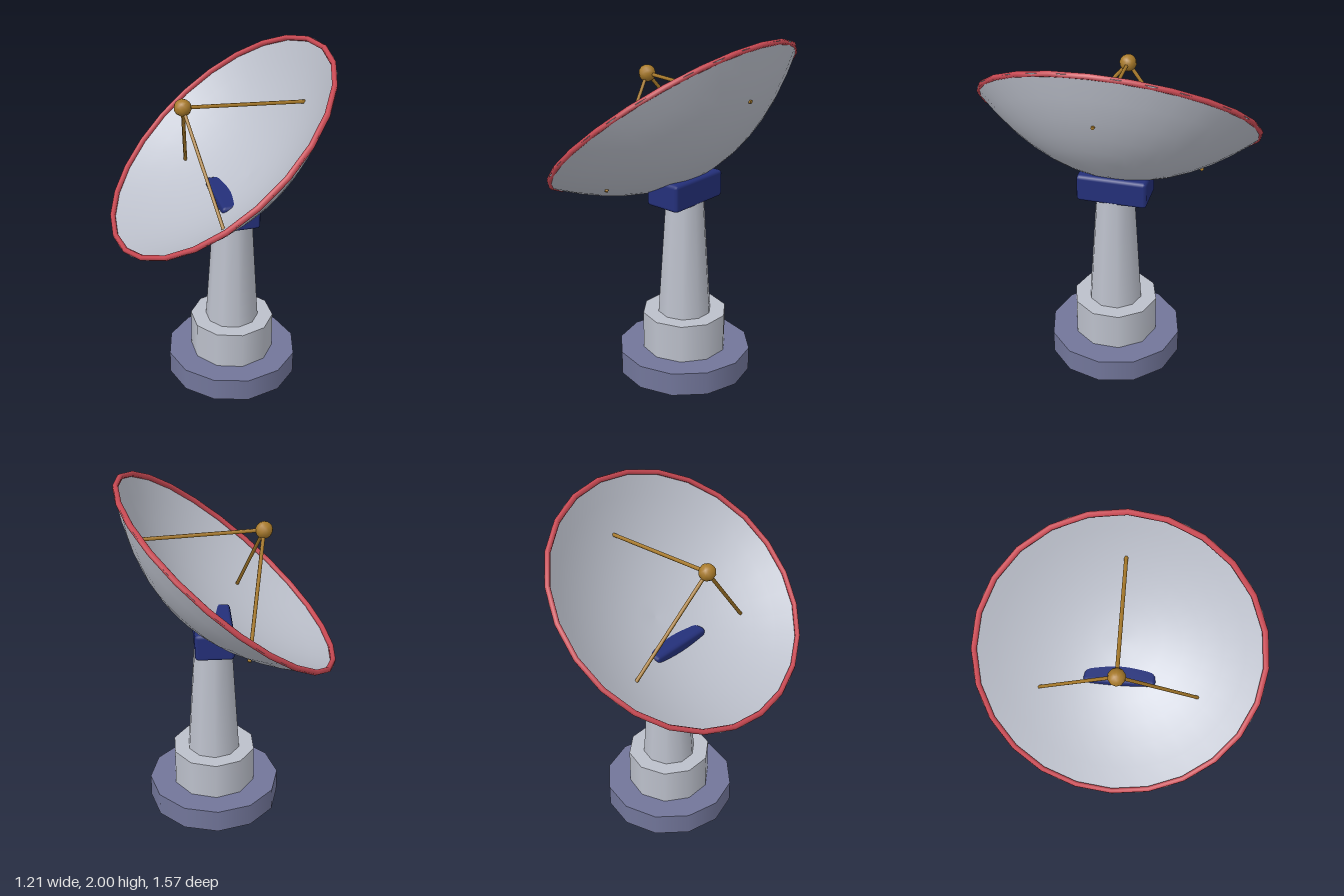
import * as THREE from 'three';
import { RoundedBoxGeometry } from 'three/addons/geometries/RoundedBoxGeometry.js';

const material = (name, color, side = THREE.FrontSide) => {
  const m = new THREE.MeshStandardMaterial({ color, side });
  m.name = name;
  return m;
};

export function createModel() {
  const grey = material('light grey', 0xbcc0cb);
  const slate = material('slate', 0x72769a);
  const navy = material('navy', 0x24307a);
  const red = material('rim red', 0xcb4a54);
  const gold = material('ochre', 0xa87a2a);

  const model = new THREE.Group();
  model.name = 'dishAntenna';
  const add = (parent, name, geometry, mat, x = 0, y = 0, z = 0) => {
    const mesh = new THREE.Mesh(geometry, mat);
    mesh.name = name;
    mesh.position.set(x, y, z);
    parent.add(mesh);
    return mesh;
  };

  // Pedestal: stacked drums [name, top radius, bottom radius, bottom y, top y, sides]
  const px = 0.087;
  const drums = [
    ['base', 0.385, 0.385, 0, 0.137, 12, slate],
    ['collar', 0.245, 0.245, 0.137, 0.36, 10, grey],
    ['column', 0.11, 0.155, 0.36, 1.06, 10, grey],
  ];
  for (const [name, top, bottom, y0, y1, sides, mat] of drums) {
    add(model, name, new THREE.CylinderGeometry(top, bottom, y1 - y0, sides), mat, px, (y0 + y1) / 2, 0);
  }

  // Chamfered mount block that reaches through the dish
  add(model, 'mountBlock', new RoundedBoxGeometry(0.22, 0.158, 0.4, 1, 0.02), navy, px, 1.115, 0);

  // Tilted head: local y is the axis of the dish, the origin is the rim centre
  const head = new THREE.Group();
  head.name = 'dishHead';
  head.position.set(0, 1.494, 0);
  head.rotation.z = THREE.MathUtils.degToRad(40);
  model.add(head);

  // Parabolic bowl, a deeper outer skin and a shallower inner one
  const R = 0.782;
  const bowl = (depth) => Array.from({ length: 8 }, (_, i) => {
    const t = i / 7;
    return new THREE.Vector2(R * t, -depth * (1 - t * t));
  });
  add(head, 'dishOuter', new THREE.LatheGeometry(bowl(0.344), 32), grey);
  add(head, 'dishInner', new THREE.LatheGeometry(bowl(0.285).reverse(), 32), grey);

  // Rim ring
  add(head, 'rim', new THREE.TorusGeometry(0.769, 0.016, 6, 24).rotateX(Math.PI / 2), red);

  // Feed at the focus, held by three struts that pierce the bowl
  const focus = new THREE.Vector3(0, 0.3, 0);
  add(head, 'feed', new THREE.SphereGeometry(0.048, 10, 8), gold, 0, focus.y, 0);
  for (let i = 0; i < 3; i++) {
    const a = (i * Math.PI * 2) / 3;
    const foot = new THREE.Vector3(0.531 * Math.cos(a), -0.196, 0.531 * Math.sin(a));
    const along = focus.clone().sub(foot);
    const strut = add(head, 'feedStrut', new THREE.CylinderGeometry(0.0105, 0.0105, along.length(), 6), gold);
    strut.position.copy(foot).add(focus).multiplyScalar(0.5);
    strut.quaternion.setFromUnitVectors(new THREE.Vector3(0, 1, 0), along.normalize());
  }

  return model;
}
